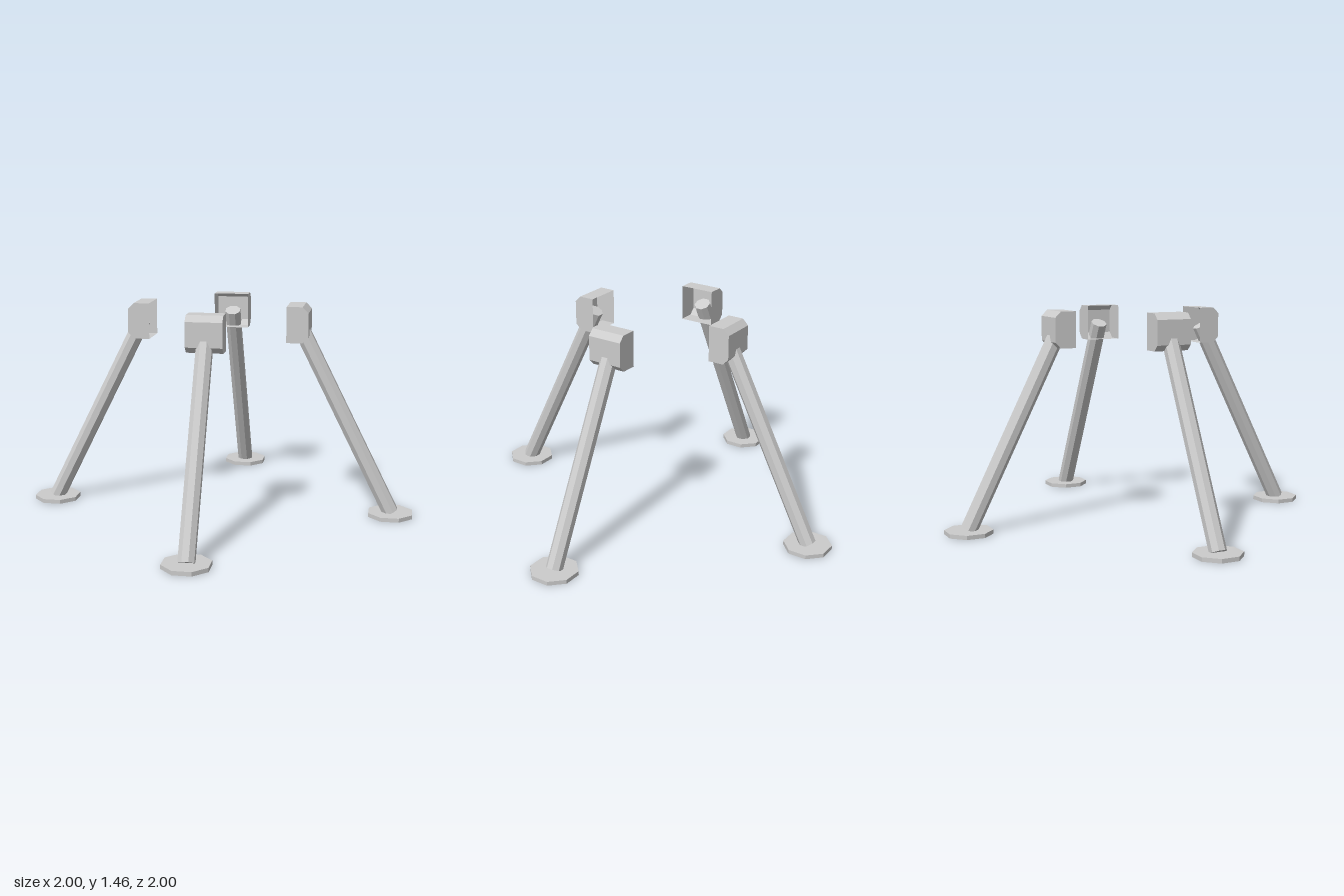
import * as THREE from 'three';

const material = new THREE.MeshStandardMaterial({ color: 0xcccccc, flatShading: true, side: THREE.DoubleSide });

function part(name, geometry) {
  const mesh = new THREE.Mesh(geometry, material);
  mesh.name = name;
  return mesh;
}

// Thin bracket shell, open on the inner side, chamfered along its outer top and bottom edges
function bracketGeometry() {
  const half = 0.122;
  const profile = [[0.472, 1.215], [0.58, 1.215], [0.62, 1.255], [0.62, 1.42], [0.58, 1.46], [0.472, 1.46]];
  const n = profile.length;
  const positions = [];
  const index = [];
  for (const x of [-half, half]) for (const [z, y] of profile) positions.push(x, y, z);
  for (let i = 0; i < n - 1; i++) index.push(i, i + n, i + n + 1, i, i + n + 1, i + 1);
  for (let i = 1; i < n - 1; i++) index.push(0, i, i + 1, n, n + i + 1, n + i);
  const geometry = new THREE.BufferGeometry();
  geometry.setAttribute('position', new THREE.Float32BufferAttribute(positions, 3));
  geometry.setIndex(index);
  const flat = geometry.toNonIndexed();
  flat.computeVertexNormals();
  return flat;
}

// Octagonal strut between two points, flats facing outwards
function strutGeometry(start, end, radius) {
  const axis = end.clone().sub(start);
  const geometry = new THREE.CylinderGeometry(radius, radius, axis.length(), 8);
  geometry.rotateY(Math.PI / 8);
  geometry.rotateX(Math.atan2(axis.z, axis.y));
  const mid = start.clone().add(end).multiplyScalar(0.5);
  return geometry.translate(mid.x, mid.y, mid.z);
}

export function createModel() {
  const model = new THREE.Group();
  model.name = 'legSet';

  const foot = new THREE.CylinderGeometry(0.1624, 0.1624, 0.028, 8);
  foot.rotateY(Math.PI / 8).translate(0, 0.014, 1.202);
  const strut = strutGeometry(new THREE.Vector3(0, 0.026, 1.202), new THREE.Vector3(0, 1.33, 0.545), 0.057);
  const bracket = bracketGeometry();

  // Four identical legs splayed out along the diagonals
  const names = ['frontLeftLeg', 'backLeftLeg', 'backRightLeg', 'frontRightLeg'];
  names.forEach((name, i) => {
    const leg = new THREE.Group();
    leg.name = name;
    leg.add(part('footPad', foot), part('strut', strut), part('bracket', bracket));
    leg.rotation.y = Math.PI / 4 + (i * Math.PI) / 2;
    model.add(leg);
  });
  return model;
}
